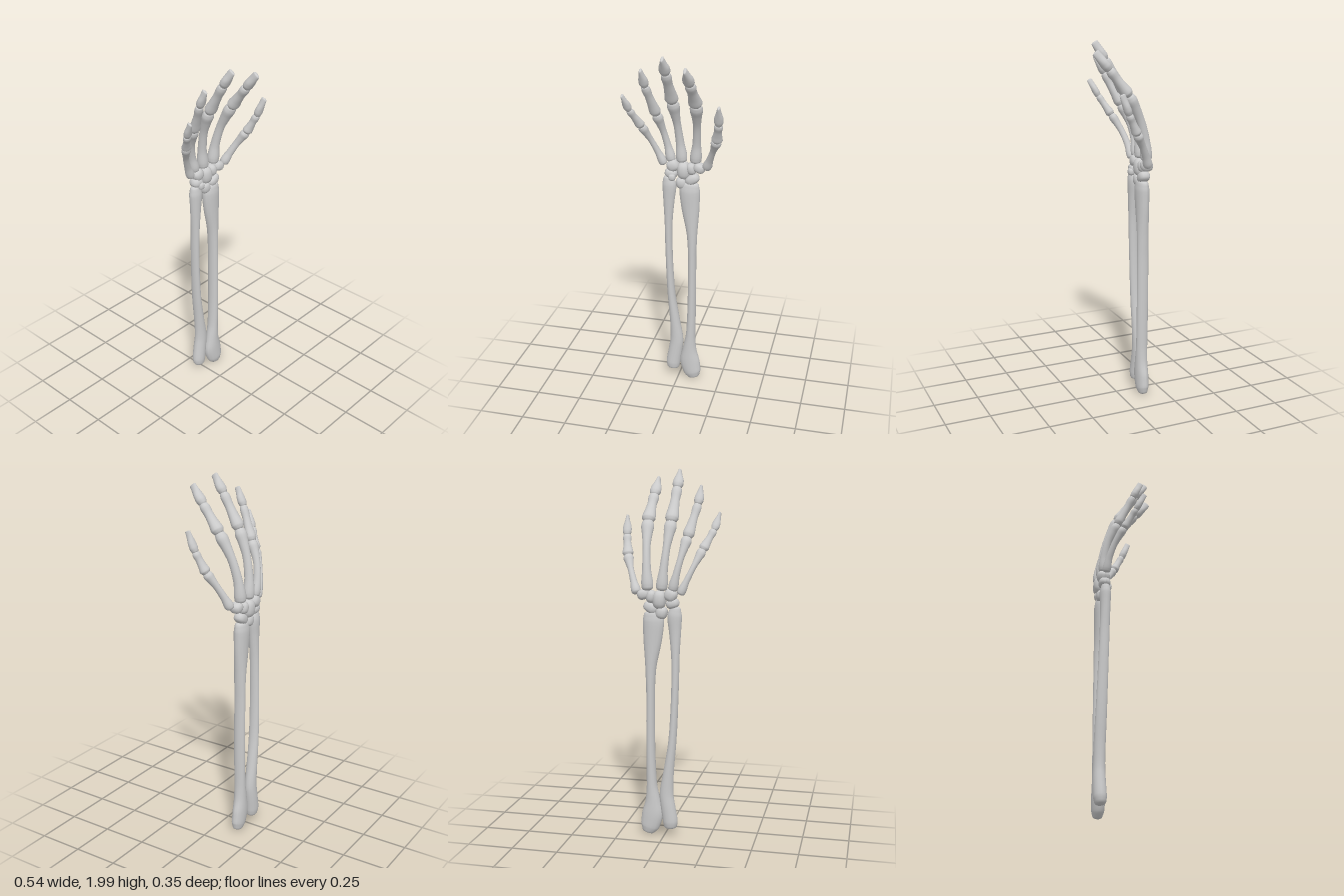
import * as THREE from 'three';

const material = new THREE.MeshStandardMaterial({ color: 0xcccccc });
const SIDES = 14;

// Closed, rounded loft through sections [x, y, z, half width, half depth]
function bone(name, sections, steps = 4) {
  const path = new THREE.CatmullRomCurve3(sections.map(s => new THREE.Vector3(s[0], s[1], s[2])));
  const radii = new THREE.CatmullRomCurve3(sections.map(s => new THREE.Vector3(s[3], s[4], 0)));
  const count = (sections.length - 1) * steps;
  const rings = [];
  for (let i = 0; i <= count; i++) {
    const r = radii.getPoint(i / count);
    rings.push({ p: path.getPoint(i / count), t: path.getTangent(i / count), a: r.x, b: r.y });
  }
  // Domed ends
  const dome = (ring, dir) => [[0.25, 0.85], [0.42, 0.5], [0.48, 0]].map(([out, scale]) => ({
    p: ring.p.clone().addScaledVector(ring.t, dir * out * Math.min(ring.a, ring.b)),
    t: ring.t, a: ring.a * scale, b: ring.b * scale
  }));
  const all = [...dome(rings[0], -1).reverse(), ...rings, ...dome(rings[count], 1)];
  const pos = [], index = [];
  all.forEach(({ p, t, a, b }, i) => {
    const u = new THREE.Vector3(1, 0, 0).addScaledVector(t, -t.x).normalize();
    const v = new THREE.Vector3().crossVectors(t, u);
    for (let j = 0; j < SIDES; j++) {
      const g = j / SIDES * Math.PI * 2;
      const q = p.clone().addScaledVector(u, a * Math.cos(g)).addScaledVector(v, b * Math.sin(g));
      pos.push(q.x, q.y, q.z);
      if (i === all.length - 1) continue;
      const k = i * SIDES + j, n = i * SIDES + (j + 1) % SIDES;
      if (i > 0) index.push(k, n, n + SIDES);
      if (i < all.length - 2) index.push(k, n + SIDES, k + SIDES);
      if (i === 0) index.push(k, n + SIDES, k + SIDES);
    }
  });
  const geo = new THREE.BufferGeometry();
  geo.setAttribute('position', new THREE.Float32BufferAttribute(pos, 3));
  geo.setIndex(index);
  geo.computeVertexNormals();
  const mesh = new THREE.Mesh(geo, material);
  mesh.name = name;
  return mesh;
}

// Sections between two joints; profile rows are [fraction, width, depth]
function between(a, b, r, profile, bow = 0) {
  return profile.map(([f, w, d]) => [
    a[0] + (b[0] - a[0]) * f,
    a[1] + (b[1] - a[1]) * f,
    a[2] + (b[2] - a[2]) * f - bow * Math.sin(Math.PI * f),
    r * w, r * d
  ]);
}

const METACARPAL = [[0.03, 0.85, 0.85], [0.1, 0.9, 0.9], [0.3, 0.66, 0.72], [0.6, 0.58, 0.66],
  [0.82, 0.8, 0.78], [0.92, 0.98, 0.88], [0.98, 0.85, 0.75]];
const PHALANX = [[0.03, 0.85, 0.75], [0.12, 1.05, 0.9], [0.35, 0.88, 0.75], [0.65, 0.72, 0.66],
  [0.86, 0.82, 0.72], [0.97, 0.72, 0.62]];
const TIP = [[0.04, 0.66, 0.62], [0.22, 0.86, 0.72], [0.42, 0.82, 0.68], [0.7, 0.5, 0.62], [0.98, 0.25, 0.56]];

// Joints run from wrist to tip; bow bends the metacarpal backward
const FINGERS = [
  { name: 'littleFinger', r: 0.026, bow: 0.018, joints: [[-0.085, 1.35, -0.13], [-0.19, 1.58, -0.055], [-0.24, 1.68, 0.0], [-0.265, 1.77, 0.045]] },
  { name: 'ringFinger', r: 0.03, bow: 0.025, joints: [[-0.045, 1.37, -0.137], [-0.112, 1.645, -0.075], [-0.152, 1.815, 0.005], [-0.162, 1.91, 0.05]] },
  { name: 'middleFinger', r: 0.035, bow: 0.025, joints: [[0.015, 1.37, -0.135], [-0.02, 1.725, -0.055], [-0.03, 1.9, 0.05], [-0.033, 1.99, 0.11]] },
  { name: 'indexFinger', r: 0.036, bow: 0.03, joints: [[0.09, 1.37, -0.135], [0.115, 1.725, -0.02], [0.105, 1.86, 0.085], [0.095, 1.95, 0.158]] },
  { name: 'thumb', r: 0.029, bow: 0.008, joints: [[0.155, 1.35, -0.115], [0.228, 1.54, -0.015], [0.247, 1.645, 0.038], [0.253, 1.75, 0.08]] }
];

// Wrist bones: centre, half sizes, tilt
const CARPALS = [
  [-0.035, 1.345, -0.135, 0.036, 0.034, 0.036, 0.5],
  [0.025, 1.32, -0.135, 0.036, 0.05, 0.042, 0.05],
  [0.07, 1.335, -0.132, 0.026, 0.034, 0.036, 0.2],
  [0.115, 1.345, -0.125, 0.034, 0.028, 0.034, -0.35],
  [-0.045, 1.3, -0.13, 0.036, 0.026, 0.033, -0.3],
  [-0.035, 1.285, -0.105, 0.02, 0.02, 0.018, 0],
  [0.015, 1.25, -0.13, 0.032, 0.034, 0.034, 0.2],
  [0.075, 1.275, -0.127, 0.042, 0.028, 0.033, 0.55]
];

export function createModel() {
  const model = new THREE.Group();
  model.name = 'forearmAndHand';

  // Forearm: the two long bones
  model.add(bone('ulna', [
    [-0.035, 0.065, -0.138, 0.036, 0.03],
    [-0.034, 0.1, -0.14, 0.042, 0.035],
    [-0.022, 0.18, -0.142, 0.041, 0.034],
    [-0.014, 0.25, -0.142, 0.039, 0.032],
    [-0.026, 0.38, -0.142, 0.029, 0.031],
    [-0.046, 0.55, -0.14, 0.022, 0.03],
    [-0.058, 0.8, -0.135, 0.02, 0.028],
    [-0.06, 1.0, -0.13, 0.022, 0.027],
    [-0.057, 1.15, -0.127, 0.033, 0.028],
    [-0.055, 1.23, -0.127, 0.04, 0.031],
    [-0.06, 1.275, -0.127, 0.028, 0.024]
  ]));
  model.add(bone('radius', [
    [0.093, 0.024, -0.124, 0.036, 0.025],
    [0.084, 0.055, -0.124, 0.053, 0.033],
    [0.07, 0.12, -0.125, 0.059, 0.035],
    [0.067, 0.2, -0.125, 0.042, 0.034],
    [0.073, 0.3, -0.125, 0.028, 0.033],
    [0.078, 0.5, -0.125, 0.024, 0.033],
    [0.078, 0.8, -0.125, 0.023, 0.033],
    [0.076, 0.95, -0.125, 0.03, 0.033],
    [0.066, 1.1, -0.125, 0.051, 0.034],
    [0.061, 1.2, -0.125, 0.058, 0.036],
    [0.063, 1.245, -0.125, 0.05, 0.029]
  ]));

  // Wrist: pebble bones with squared-off sides
  const wrist = new THREE.Group();
  wrist.name = 'wrist';
  CARPALS.forEach(([x, y, z, a, b, c, tilt], i) => {
    const geo = new THREE.SphereGeometry(1, 14, 10);
    const p = geo.attributes.position;
    const soften = v => Math.sign(v) * Math.abs(v) ** 0.8;
    for (let k = 0; k < p.count; k++) {
      p.setXYZ(k, soften(p.getX(k)) * a, soften(p.getY(k)) * b, soften(p.getZ(k)) * c);
    }
    geo.computeVertexNormals();
    const mesh = new THREE.Mesh(geo, material);
    mesh.name = `wristBone${i + 1}`;
    mesh.position.set(x, y, z);
    mesh.rotation.z = tilt;
    wrist.add(mesh);
  });
  model.add(wrist);

  // Fingers: three bones each
  FINGERS.forEach(({ name, r, bow, joints: [a, b, c, d] }) => {
    const finger = new THREE.Group();
    finger.name = name;
    finger.add(
      bone('metacarpal', between(a, b, r, METACARPAL, bow)),
      bone('phalanx', between(b, c, r, PHALANX)),
      bone('fingertip', between(c, d, r, TIP))
    );
    model.add(finger);
  });
  return model;
}
